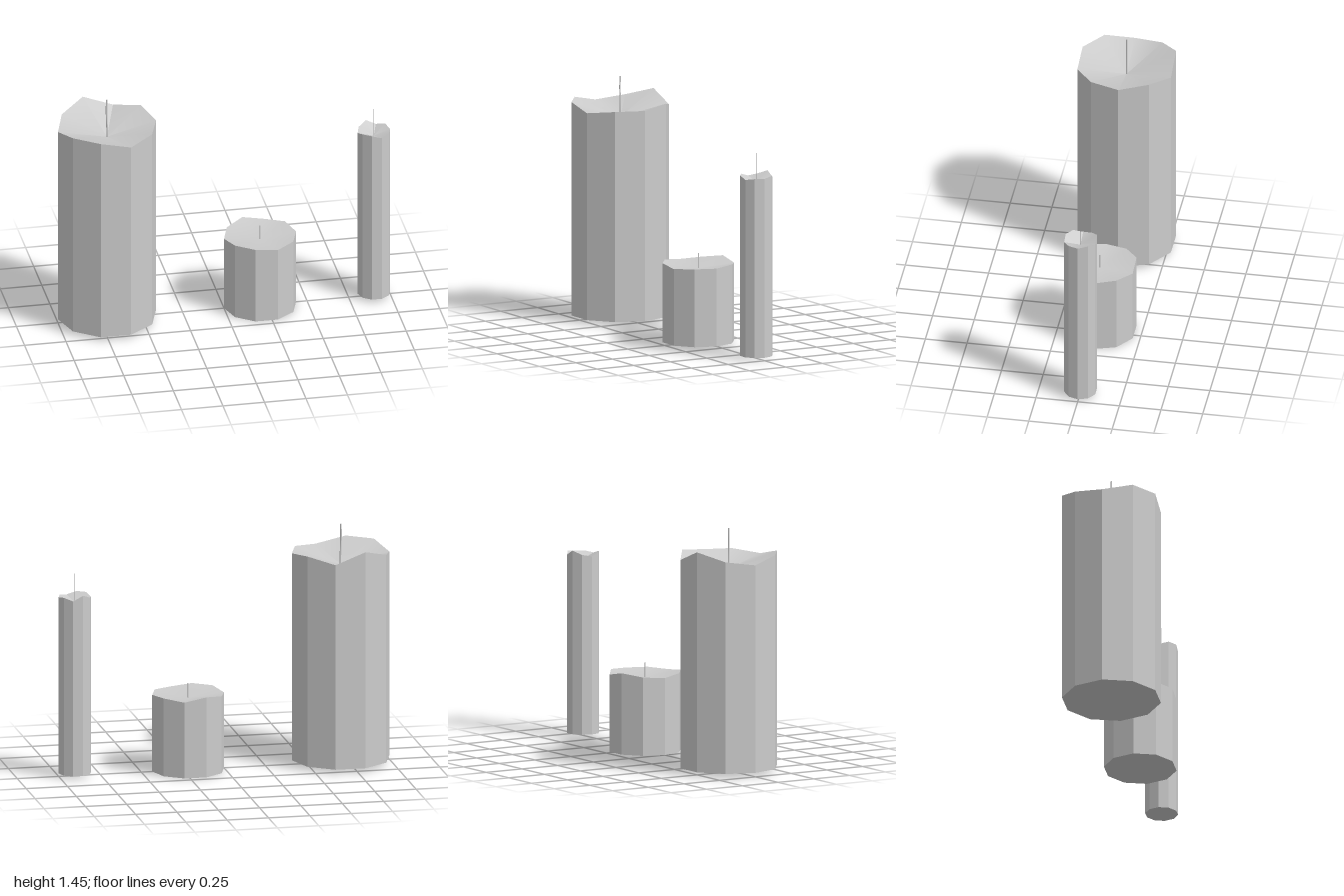
import * as THREE from 'three';
import { toCreasedNormals } from 'three/addons/utils/BufferGeometryUtils.js';

const SIDES = 10;
// Uneven rim: height offset of each corner, counted from +x towards +z
const RIM = [0, 0, -0.02, 0.02, 0.02, -0.02, 0.005, 0.055, -0.015, 0.02];
const DISH = -0.08;

const material = new THREE.MeshStandardMaterial({ color: 0xcccccc });

// Ten-sided wax body with a wavy rim and a dished top
function waxBody(radius, bottom, top, wave) {
  const geometry = new THREE.CylinderGeometry(radius, radius, 1, SIDES, 1, false, Math.PI / 2);
  const p = geometry.attributes.position;
  for (let i = 0; i < p.count; i++) {
    const x = p.getX(i), z = p.getZ(i);
    if (p.getY(i) < 0) {
      p.setY(i, bottom);
    } else {
      const corner = Math.round(Math.atan2(z, x) / (2 * Math.PI / SIDES));
      const offset = Math.hypot(x, z) < radius / 2 ? DISH : RIM[(corner + SIDES) % SIDES];
      p.setY(i, top + wave * offset);
    }
  }
  return toCreasedNormals(geometry, 0.5);
}

// Thin wick rising from the dish, bowed slightly sideways
function wick(radius, from, to, bend) {
  const h = to - from;
  const path = new THREE.CatmullRomCurve3([
    new THREE.Vector3(bend * 0.6, from - 0.005, 0),
    new THREE.Vector3(0, from + h * 0.35, 0),
    new THREE.Vector3(-bend * 0.7, from + h * 0.7, 0),
    new THREE.Vector3(-bend * 0.3, to, 0),
  ]);
  const geometry = new THREE.TubeGeometry(path, 8, radius, 6, false);
  const mesh = new THREE.Mesh(geometry, material);
  mesh.name = 'wick';
  // Flat cap closing the tip
  const tip = new THREE.Mesh(new THREE.CircleGeometry(radius, 6), material);
  tip.name = 'wickTip';
  tip.rotation.x = -Math.PI / 2;
  tip.position.set(-bend * 0.3, to, 0);
  mesh.add(tip);
  return mesh;
}

export function createModel() {
  const group = new THREE.Group();
  group.name = 'candles';
  const candles = [
    { name: 'largeCandle', x: -0.705, r: 0.295, bottom: 0.024, top: 1.285, wave: 1, wickTop: 1.45, wickR: 0.005, bend: 0.004 },
    { name: 'shortCandle', x: 0.217, r: 0.217, bottom: 0, top: 0.467, wave: 0.36, wickTop: 0.527, wickR: 0.003, bend: 0 },
    { name: 'slimCandle', x: 0.902, r: 0.098, bottom: 0.018, top: 1.092, wave: 0.45, wickTop: 1.232, wickR: 0.0014, bend: 0 },
  ];
  for (const c of candles) {
    const candle = new THREE.Group();
    candle.name = c.name;
    candle.position.x = c.x;
    const body = new THREE.Mesh(waxBody(c.r, c.bottom, c.top, c.wave), material);
    body.name = 'waxBody';
    candle.add(body, wick(c.wickR, c.top + c.wave * DISH, c.wickTop, c.bend));
    group.add(candle);
  }
  return group;
}
